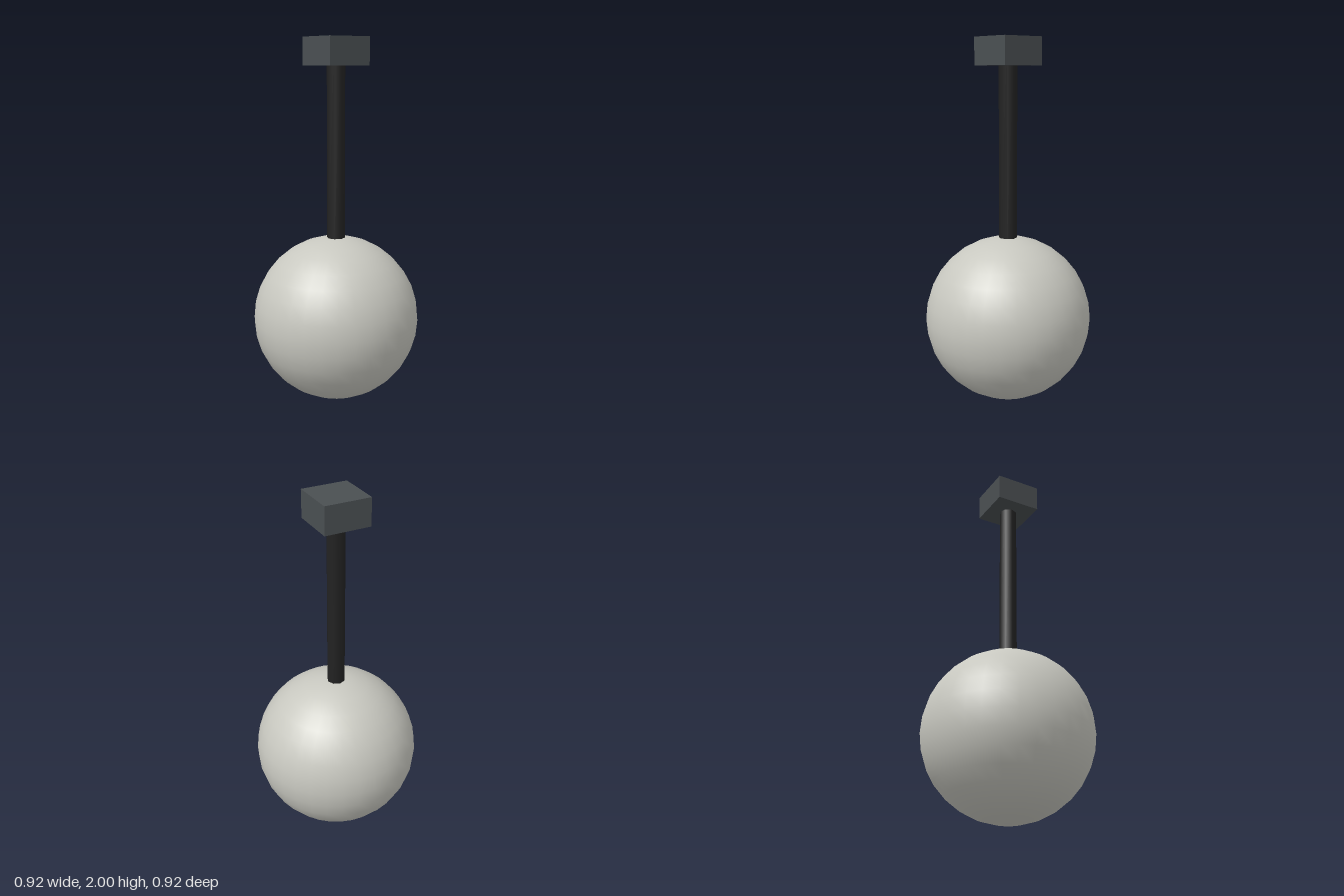
import * as THREE from 'three';

const paint = (name, color) => {
  const m = new THREE.MeshStandardMaterial({ color });
  m.name = name;
  return m;
};

export function createModel() {
  const group = new THREE.Group();
  group.name = 'ballOnRod';

  const add = (name, geometry, material, y) => {
    const mesh = new THREE.Mesh(geometry, material);
    mesh.name = name;
    mesh.position.y = y;
    group.add(mesh);
  };

  // Large ball resting on the ground
  add('ball', new THREE.SphereGeometry(0.46, 32, 16), paint('pale grey', 0xc8c8c0), 0.46);

  // Eight-sided rod, sunk slightly into the ball and the cap
  const bottom = 0.91, top = 1.99;
  add('rod', new THREE.CylinderGeometry(0.05, 0.05, top - bottom, 8), paint('near black', 0x222222), (top + bottom) / 2);

  // Square block at the top
  add('topBlock', new THREE.BoxGeometry(0.255, 0.15, 0.255), paint('slate grey', 0x4a4f52), 1.925);

  return group;
}
